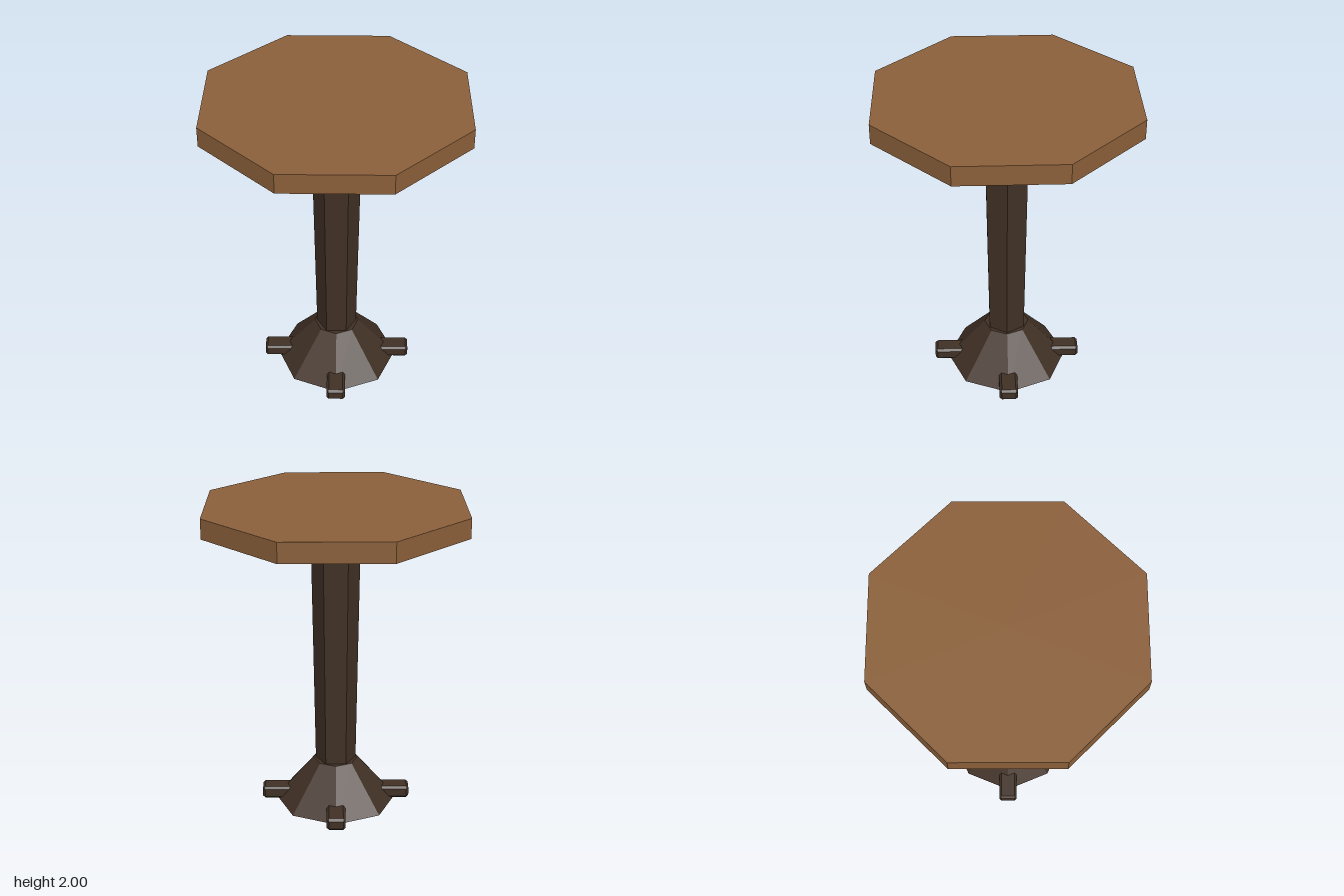
import * as THREE from 'three';
import { ConvexGeometry } from 'three/addons/geometries/ConvexGeometry.js';

// Box with every edge cut at 45 degrees
function chamferedBox(w, h, d, c) {
  const points = [];
  for (const sx of [-1, 1]) for (const sy of [-1, 1]) for (const sz of [-1, 1]) {
    const x = w / 2, y = h / 2, z = d / 2;
    points.push(
      new THREE.Vector3(sx * x, sy * (y - c), sz * (z - c)),
      new THREE.Vector3(sx * (x - c), sy * y, sz * (z - c)),
      new THREE.Vector3(sx * (x - c), sy * (y - c), sz * z)
    );
  }
  return new ConvexGeometry(points);
}

export function createModel() {
  const group = new THREE.Group();
  const topWood = new THREE.MeshStandardMaterial({ color: 0x8a5f3a, flatShading: true });
  topWood.name = 'warm brown wood';
  const darkWood = new THREE.MeshStandardMaterial({ color: 0x403025, flatShading: true });
  darkWood.name = 'dark brown wood';

  function add(name, geometry, material, x, y, z, turn = 0) {
    const mesh = new THREE.Mesh(geometry, material);
    mesh.name = name;
    mesh.position.set(x, y, z);
    mesh.rotation.y = turn;
    group.add(mesh);
  }

  // Octagonal top with flat sides facing the axes
  const topRadius = 0.79 / Math.cos(Math.PI / 8);
  add('tableTop', new THREE.CylinderGeometry(topRadius, topRadius, 0.125, 8), topWood, 0, 1.9375, 0, Math.PI / 8);

  // Hexagonal column, wider at the top, with corners on the x axis
  add('column', new THREE.CylinderGeometry(0.155, 0.13, 1.62, 6), darkWood, 0, 1.075, 0, Math.PI / 2);

  // Flared octagonal base with corners on the axes
  add('base', new THREE.CylinderGeometry(0.145, 0.395, 0.287, 8), darkWood, 0, 0.1435, 0);

  // Four chamfered feet
  const footGeometry = chamferedBox(0.12, 0.082, 0.24, 0.015);
  ['frontFoot', 'leftFoot', 'backFoot', 'rightFoot'].forEach((name, i) => {
    const a = i * Math.PI / 2;
    add(name, footGeometry, darkWood, Math.sin(a) * 0.362, 0.046, Math.cos(a) * 0.362, a);
  });

  return group;
}
